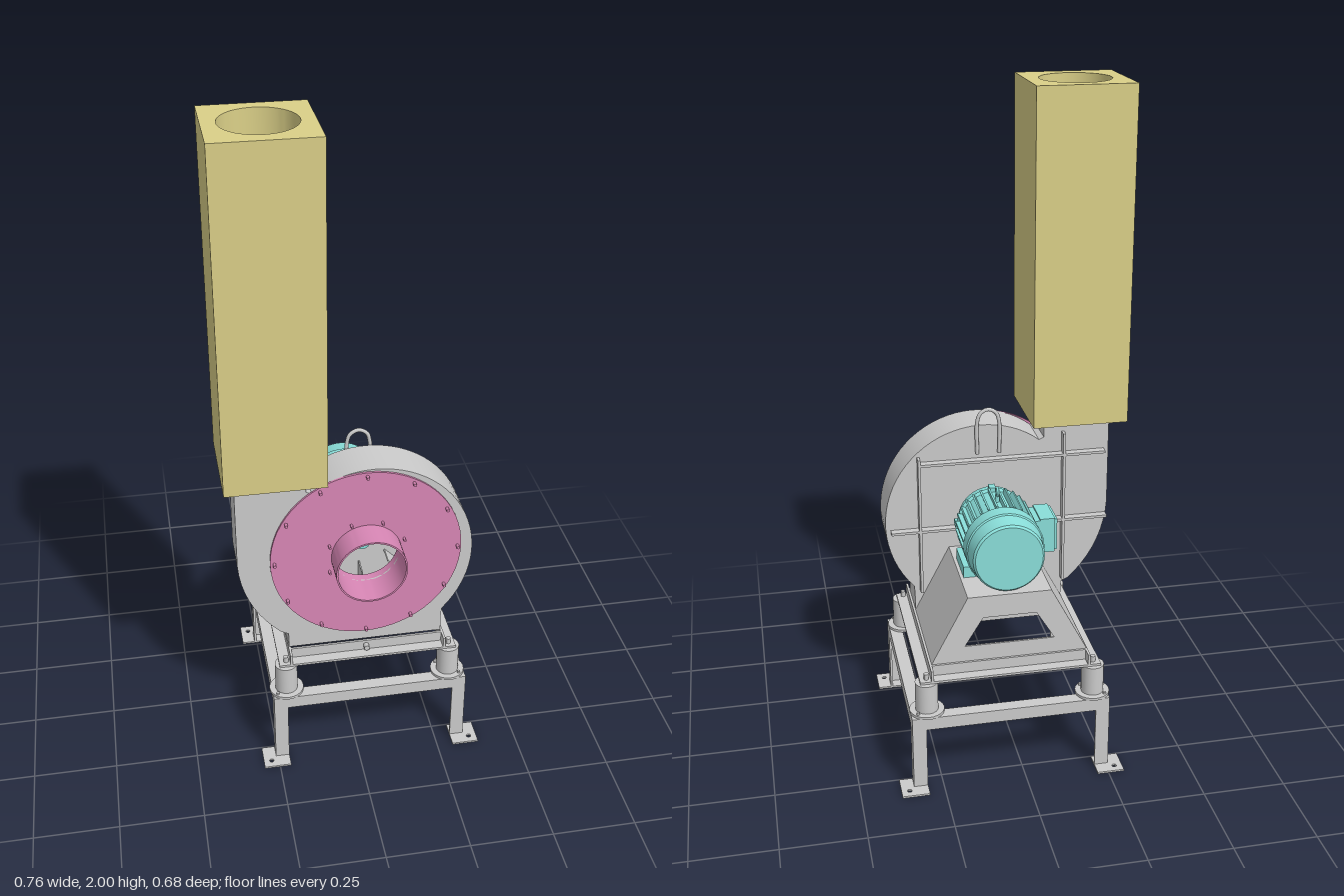
import * as THREE from 'three';
import { toCreasedNormals } from 'three/addons/utils/BufferGeometryUtils.js';

const material = (color) => new THREE.MeshStandardMaterial({ color, side: THREE.DoubleSide });
const grey = material(0xcccccc), yellow = material(0xdbd088), pink = material(0xd987b6), teal = material(0x8adfda);
const CX = 0.035, CY = 0.7; // shaft axis

export function createModel() {
  const model = new THREE.Group();
  const add = (name, geometry, mat, x = 0, y = 0, z = 0, parent = model) => {
    const mesh = new THREE.Mesh(geometry, mat);
    mesh.name = name;
    mesh.position.set(x, y, z);
    parent.add(mesh);
    return mesh;
  };
  // box given by its limits
  const box = (name, mat, x0, x1, y0, y1, z0, z1) =>
    add(name, new THREE.BoxGeometry(Math.abs(x1 - x0), y1 - y0, Math.abs(z1 - z0)), mat, (x0 + x1) / 2, (y0 + y1) / 2, (z0 + z1) / 2);
  const shapeOf = (pts) => new THREE.Shape(pts.map(([x, y]) => new THREE.Vector2(x, y)));
  const rect = (x0, x1, y0, y1) => shapeOf([[x0, y0], [x1, y0], [x1, y1], [x0, y1]]);
  const circle = (x, y, r) => new THREE.Path().absarc(x, y, r, 0, Math.PI * 2, true);
  const extrude = (shape, holes, depth) => {
    shape.holes.push(...holes);
    return new THREE.ExtrudeGeometry(shape, { depth, bevelEnabled: false, curveSegments: 32 });
  };
  // horizontal plate: shape y becomes -z
  const slab = (shape, holes, h) => toCreasedNormals(extrude(shape, holes, h).rotateX(-Math.PI / 2), 0.5);
  // sheet bent along an open profile, running from z0 to z1
  const sheet = (pts, z0, z1) => {
    const g = new THREE.PlaneGeometry(1, 1, pts.length - 1, 1);
    const p = g.attributes.position;
    for (let i = 0; i < p.count; i++) p.setXYZ(i, ...pts[i % pts.length], i < pts.length ? z0 : z1);
    return toCreasedNormals(g, 0.5);
  };
  // solid of revolution about the shaft axis, profile in [radius, z]
  const turned = (pts, segments = 48) => toCreasedNormals(
    new THREE.LatheGeometry(pts.map(([r, z]) => new THREE.Vector2(r, z)), segments).rotateX(Math.PI / 2), 0.5);
  const ring = (n, start, fn) => {
    for (let i = 0; i < n; i++) fn(start + (i / n) * Math.PI * 2);
  };

  // ---- lower stand: feet, angle legs, angle rails
  const S = 0.041, HX = 0.299, HZ = 0.3, T = 0.007;
  for (const sx of [-1, 1]) for (const sz of [-1, 1]) {
    const ox = S + sx * HX, oz = sz * HZ;
    const foot = rect(-0.041, 0.041, -0.042, 0.042);
    add('foot', slab(foot, [circle(sx * 0.017, -sz * 0.017, 0.007)], 0.006), grey, S + sx * 0.298, 0, oz);
    box('legAngle', grey, ox, ox - sx * T, 0.006, 0.24, oz, oz - sz * 0.042);
    box('legAngle', grey, ox, ox - sx * 0.042, 0.006, 0.24, oz, oz - sz * T);

    // vibration mounts
    const mx = S - 0.003 + sx * 0.252, mz = sz * 0.256;
    add('mountBase', new THREE.CylinderGeometry(0.052, 0.052, 0.008, 24), grey, mx, 0.244, mz);
    add('mountBody', new THREE.CylinderGeometry(0.034, 0.034, 0.095, 24), grey, mx, 0.292, mz);
    add('mountBolt', new THREE.CylinderGeometry(0.008, 0.008, 0.03, 6), grey, mx, 0.35, mz);
    ring(2, sx * sz * Math.PI / 4, (a) =>
      add('mountScrew', new THREE.CylinderGeometry(0.005, 0.005, 0.008, 6), grey, mx + 0.043 * Math.cos(a), 0.25, mz + 0.043 * Math.sin(a)));
  }
  for (const s of [-1, 1]) {
    const ox = S + s * HX, oz = s * HZ;
    box('sideRailTop', grey, ox, ox - s * 0.04, 0.233, 0.24, -HZ, HZ);
    box('sideRailWeb', grey, ox, ox - s * T, 0.2, 0.24, -HZ, HZ);
    box('crossRailTop', grey, S - HX, S + HX, 0.233, 0.24, oz, oz - s * 0.04);
    box('crossRailWeb', grey, S - HX, S + HX, 0.2, 0.24, oz, oz - s * T);

    // upper base frame, flange outward and web on the inside
    const ux = 0.0375 + s * 0.2725, uz = s * 0.275;
    box('baseSideFlange', grey, ux, ux - s * 0.04, 0.34, 0.347, -0.275, 0.275);
    box('baseSideWeb', grey, ux - s * 0.033, ux - s * 0.04, 0.34, 0.38, -0.275, 0.275);
    box('baseCrossFlange', grey, -0.2, 0.275, 0.34, 0.347, uz, uz - s * 0.04);
    box('baseCrossWeb', grey, -0.2, 0.275, 0.34, 0.38, uz - s * 0.033, uz - s * 0.04);
  }
  add('earthBolt', new THREE.CylinderGeometry(0.009, 0.009, 0.02, 6).rotateX(Math.PI / 2), grey, CX, 0.364, 0.25);

  // ---- scroll housing: growing spiral with a square foot and an upright outlet
  const outline = [[-0.345, 0.995], [-0.345, 0.85]];
  let footDone = false;
  for (let d = 0; d <= 305; d += 5) {
    const a = Math.PI + (d * Math.PI) / 180, r = 0.38 - (0.09 * d) / 270;
    const x = CX + r * Math.cos(a), y = CY + r * Math.sin(a);
    if (y < CY && x > -0.2 && x < 0.27) {
      if (!footDone) outline.push([-0.2, 0.43], [-0.2, 0.38], [0.27, 0.38], [0.27, 0.44]);
      footDone = true;
    } else outline.push([x, y]);
  }
  outline.push([-0.14, 0.935], [-0.14, 0.995]);
  add('housingWall', sheet(outline, 0.1, 0.23), grey);
  add('housingFront', extrude(shapeOf(outline), [circle(CX, CY, 0.1)], 0.005), grey, 0, 0, 0.225);
  add('housingBack', extrude(shapeOf(outline), [], 0.005), grey, 0, 0, 0.1);
  add('outletFlange', slab(rect(-0.36, -0.115, -0.245, -0.08), [rect(-0.32, -0.15, -0.225, -0.1)], 0.008), grey, 0, 0.99, 0);
  // stiffeners on the back
  for (const [x, y0, y1] of [[0.25, 0.45, 0.9], [-0.2, 0.45, 0.95]]) box('verticalRib', grey, x - 0.004, x + 0.004, y0, y1, 0.075, 0.1);
  box('upperRib', grey, -0.33, 0.25, 0.876, 0.884, 0.075, 0.1);
  box('middleRib', grey, -0.34, 0.34, 0.656, 0.664, 0.075, 0.1);
  // lifting eye
  const eye = new THREE.CatmullRomCurve3([[-0.034, 0.9], [-0.034, 1.0], [-0.024, 1.03], [0, 1.042], [0.024, 1.03], [0.034, 1.0], [0.034, 0.9]]
    .map(([x, y]) => new THREE.Vector3(CX + x, y, 0.094)));
  add('liftingEye', new THREE.TubeGeometry(eye, 40, 0.006, 8), grey);

  // ---- impeller
  add('impellerDisc', turned([[0, 0.112], [0.235, 0.112], [0.235, 0.116], [0, 0.116]]), grey, CX, CY);
  add('impellerHub', turned([[0.035, 0.116], [0.035, 0.15], [0, 0.15]], 32), grey, CX, CY);
  ring(8, 0, (a) => {
    const blade = add('impellerBlade', new THREE.BoxGeometry(0.125, 0.004, 0.06), grey, CX + 0.172 * Math.cos(a), CY + 0.172 * Math.sin(a), 0.146);
    blade.rotation.z = a;
  });

  // ---- inlet plate and pipe
  add('inlet', turned([[0.285, 0.23], [0.285, 0.237], [0.105, 0.237], [0.105, 0.325], [0.1, 0.325], [0.1, 0.2]], 64), pink, CX, CY);
  const bolts = (n, start, r, size) => ring(n, start, (a) =>
    add('inletBolt', new THREE.CylinderGeometry(size, size, 0.018, 6).rotateX(Math.PI / 2), pink, CX + r * Math.cos(a), CY + r * Math.sin(a), 0.243));
  bolts(12, 0, 0.273, 0.005);
  bolts(8, Math.PI / 8, 0.12, 0.004);

  // ---- outlet silencer: square block with a round bore
  add('silencer', slab(rect(-0.38, -0.09, -0.31, -0.02), [circle(-0.235, -0.163, 0.105)], 0.992), yellow, 0, 1.008, 0);
  add('silencerBase', slab(rect(-0.38, -0.09, -0.31, -0.02), [rect(-0.32, -0.15, -0.225, -0.1)], 0.01), yellow, 0, 0.998, 0);

  // ---- motor pedestal
  const trapezoid = [[0.27, 0.38], [0.16, 0.59], [-0.09, 0.59], [-0.2, 0.38]];
  add('pedestal', sheet(trapezoid, -0.235, 0.1), grey);
  add('pedestalBack', extrude(shapeOf(trapezoid), [shapeOf([[-0.1, 0.43], [-0.045, 0.52], [0.115, 0.52], [0.17, 0.43]])], 0.006), grey, 0, 0, -0.235);

  // ---- motor
  add('motorCowl', turned([[0, -0.228], [0.1, -0.228], [0.106, -0.222], [0.113, -0.172], [0.117, -0.168], [0.117, -0.122], [0, -0.122]]), teal, CX, CY);
  add('motorBody', turned([[0.101, -0.122], [0.101, 0.03]]), teal, CX, CY);
  add('motorEndBell', turned([[0.101, 0.025], [0.11, 0.03], [0.103, 0.034], [0.1, 0.068], [0.09, 0.074], [0, 0.074]]), teal, CX, CY);
  add('motorShaft', turned([[0.022, 0.07], [0.022, 0.178], [0.012, 0.178], [0.012, 0.165], [0, 0.165]], 24), teal, CX, CY);
  ring(28, Math.PI / 28, (a) => {
    const fin = add('motorFin', new THREE.BoxGeometry(0.022, 0.006, 0.135), teal, CX + 0.106 * Math.cos(a), CY + 0.106 * Math.sin(a), -0.046);
    fin.rotation.z = a;
  });
  ring(4, 0, (a) => {
    const lug = add('endBellLug', new THREE.BoxGeometry(0.018, 0.02, 0.03), teal, CX + 0.106 * Math.cos(a), CY + 0.106 * Math.sin(a), 0.036);
    lug.rotation.z = a;
  });
  box('terminalNeck', teal, -0.095, -0.055, 0.65, 0.75, -0.1, 0);
  box('terminalBox', teal, -0.13, -0.085, 0.645, 0.755, -0.1, 0.005);
  box('terminalLid', teal, -0.138, -0.128, 0.65, 0.75, -0.095, 0);
  for (const s of [-1, 1]) box('motorFoot', teal, CX + s * 0.05, CX + s * 0.115, 0.59, 0.625, -0.11, 0.02);
  add('motorEyeBolt', new THREE.TorusGeometry(0.012, 0.004, 8, 20), teal, CX, 0.833, -0.046).rotation.y = Math.PI / 2;
  add('motorEyeStem', new THREE.CylinderGeometry(0.007, 0.007, 0.022, 10), teal, CX, 0.812, -0.046);

  return model;
}
